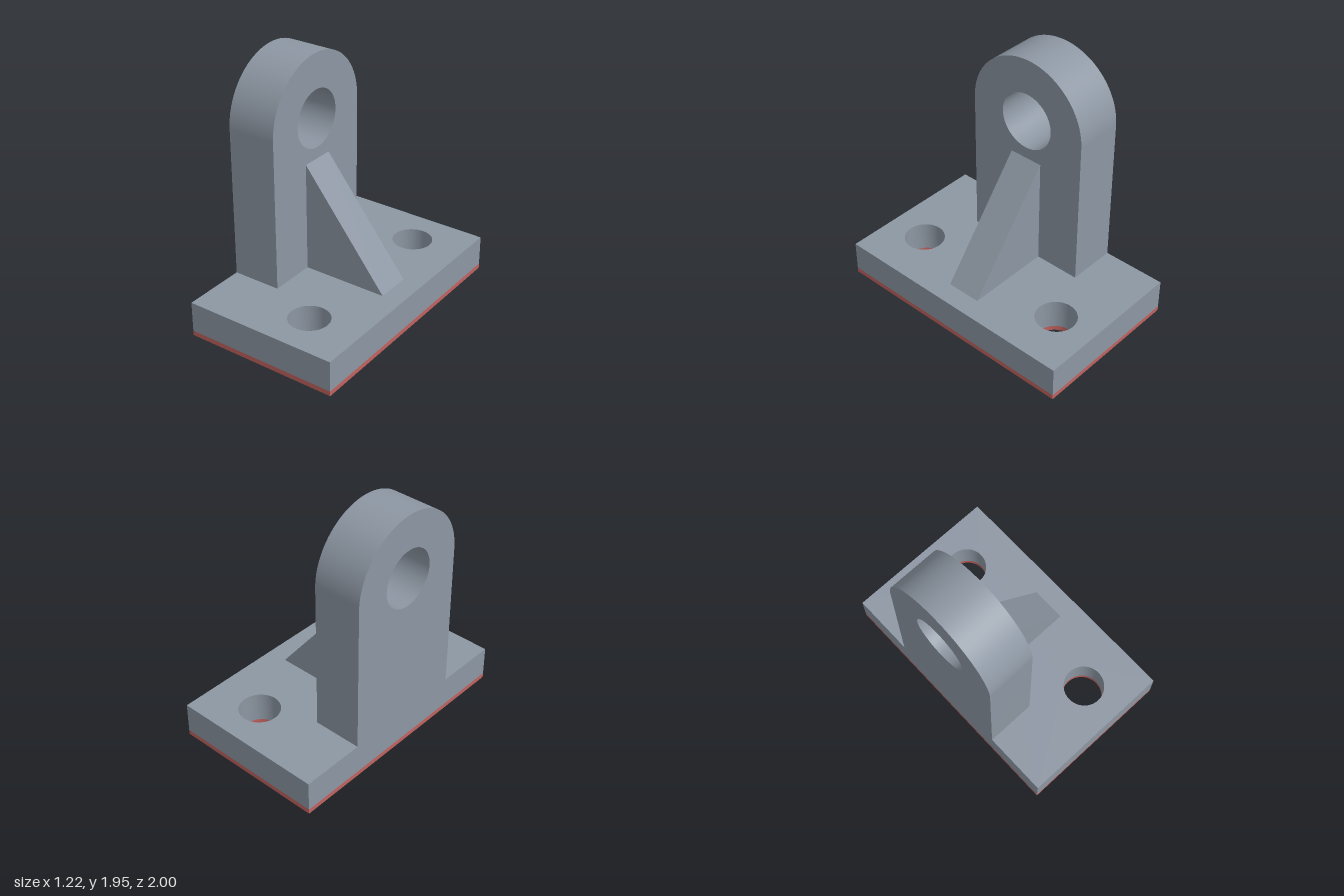
import * as THREE from 'three';
import { toCreasedNormals } from 'three/addons/utils/BufferGeometryUtils.js';

const HALF_X = 0.61, HALF_Z = 1, BASE_TOP = 0.28;
const HOLE_X = 0.19, HOLE_Z = 0.667, HOLE_R = 0.155;
const PAINT_TOP = 0.04, SOLE = 0.002, RIM = 0.02;

const steel = new THREE.MeshStandardMaterial({ color: 0x8d97a3 });
steel.name = 'steel grey';
const paint = new THREE.MeshStandardMaterial({ color: 0xc0625e });
paint.name = 'red paint';

function punch(shape, x, y, r) {
  shape.holes.push(new THREE.Path().absarc(x, y, r, 0, Math.PI * 2, true));
}

function extrude(shape, depth) {
  const geometry = new THREE.ExtrudeGeometry(shape, { depth, bevelEnabled: false, curveSegments: 48 });
  return toCreasedNormals(geometry, 0.5);
}

// Horizontal plate with two bolt holes, between heights y0 and y1
function basePlate(y0, y1, inset) {
  const w = HALF_X - inset, d = HALF_Z - inset;
  const shape = new THREE.Shape().moveTo(-w, -d).lineTo(w, -d).lineTo(w, d).lineTo(-w, d).closePath();
  for (const side of [-1, 1]) punch(shape, HOLE_X, side * HOLE_Z, HOLE_R + inset);
  return extrude(shape, y1 - y0).rotateX(-Math.PI / 2).translate(0, y0, 0);
}

export function createModel() {
  const group = new THREE.Group();
  group.name = 'mountingBracket';
  const add = (name, geometry, material) => {
    const mesh = new THREE.Mesh(geometry, material);
    mesh.name = name;
    group.add(mesh);
  };

  // Base with a painted lower edge and a bare underside
  add('base', basePlate(PAINT_TOP, BASE_TOP, 0), steel);
  add('paintedEdge', basePlate(SOLE, PAINT_TOP, 0), paint);
  add('underside', basePlate(0, SOLE, RIM), steel);

  // Round-topped upright with a pin hole, flush with the right edge of the base
  const R = 0.5, eyeY = 1.45, thickness = 0.385;
  const lug = new THREE.Shape().moveTo(-R, BASE_TOP).lineTo(R, BASE_TOP).lineTo(R, eyeY);
  lug.absarc(0, eyeY, R, 0, Math.PI, false);
  lug.closePath();
  punch(lug, 0, eyeY, 0.225);
  add('upright', extrude(lug, thickness).rotateY(Math.PI / 2).translate(-HALF_X, 0, 0), steel);

  // Triangular gusset bracing the upright
  const face = thickness - HALF_X, width = 0.274;
  const rib = new THREE.Shape().moveTo(face, BASE_TOP).lineTo(0.45, BASE_TOP).lineTo(face, 1.135).closePath();
  add('gusset', extrude(rib, width).translate(0, 0, -width / 2), steel);

  return group;
}
